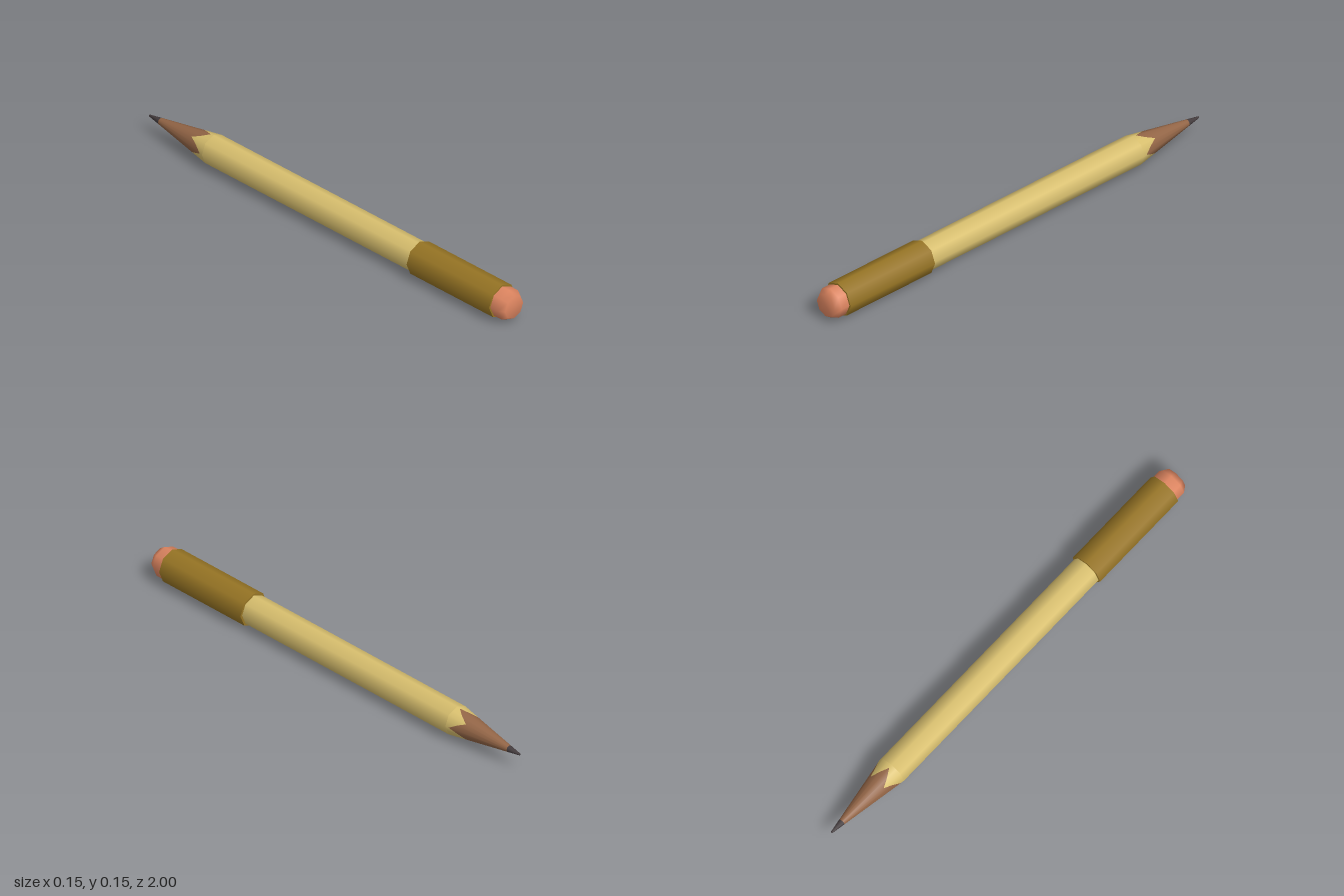
import * as THREE from 'three';

const SIDES = 8;
const R = 0.064;          // shaft radius
const CONE_START = -0.65; // where sharpening begins
const TIP = -1;

const mat = (name, color) => {
  const m = new THREE.MeshStandardMaterial({ color });
  m.name = name;
  return m;
};

// Radius of the sharpened cone at depth z
const coneRadius = (z) => 0.004 + (R - 0.004) * (z - TIP) / (CONE_START - TIP);

// Eight-sided turned part along z; profile is [radius, z] with z rising
function turned(profile) {
  const pts = profile.map(([r, z]) => new THREE.Vector2(r, z));
  return new THREE.LatheGeometry(pts, SIDES).rotateX(Math.PI / 2);
}

// Strip of the octagonal cone between two edges given as z(index)
function coneStrip(zNear, zFar) {
  const n = SIDES * 2, pos = [], nor = [], idx = [];
  const slope = (R - 0.004) / (CONE_START - TIP);
  for (let i = 0; i <= n; i++) {
    const a = (i / n) * Math.PI * 2;
    const flat = i % 2 ? Math.cos(Math.PI / SIDES) : 1; // middle of a flat side
    const normal = new THREE.Vector3(Math.cos(a), Math.sin(a), -slope).normalize();
    for (const z of [zNear(i), zFar(i)]) {
      const r = coneRadius(z) * flat;
      pos.push(r * Math.cos(a), r * Math.sin(a), z);
      nor.push(normal.x, normal.y, normal.z);
    }
    if (i < n) {
      const k = i * 2;
      idx.push(k, k + 1, k + 2, k + 1, k + 3, k + 2);
    }
  }
  const g = new THREE.BufferGeometry();
  g.setAttribute('position', new THREE.Float32BufferAttribute(pos, 3));
  g.setAttribute('normal', new THREE.Float32BufferAttribute(nor, 3));
  g.setIndex(idx);
  return g;
}

export function createModel() {
  const group = new THREE.Group();
  group.name = 'pencil';
  const paint = mat('yellow paint', 0xd8bf6e);
  const brass = mat('dark brass', 0x967424);
  const timber = mat('brown wood', 0x936546);
  const rubber = mat('pink rubber', 0xdd8560);
  const graphite = mat('graphite', 0x443c3e);

  const add = (name, geometry, material) => {
    const mesh = new THREE.Mesh(geometry, material);
    mesh.name = name;
    mesh.position.y = 0.073;
    group.add(mesh);
  };

  // Zigzag paint edge: four points on the diagonals, four notches between
  const zigzag = (i) => -0.665 - 0.07 * (1 - Math.abs((i % 4) - 2) / 2);

  add('shaft', turned([[R, CONE_START], [R, 0.5]]), paint);
  add('paintEdge', coneStrip(() => CONE_START, zigzag), paint);
  add('sharpenedWood', coneStrip(zigzag, () => -0.94), timber);
  add('lead', turned([[0, TIP], [0.004, TIP], [coneRadius(-0.94), -0.94]]), graphite);

  // Closed sleeve holding the eraser
  add('ferrule', new THREE.CylinderGeometry(0.073, 0.073, 0.453, SIDES)
    .rotateX(Math.PI / 2).translate(0, 0, 0.7075), brass);

  // Eraser with a bevelled end
  add('eraser', turned([[0.066, 0.9], [0.066, 0.975], [0.05, 1], [0, 1]]), rubber);

  return group;
}
